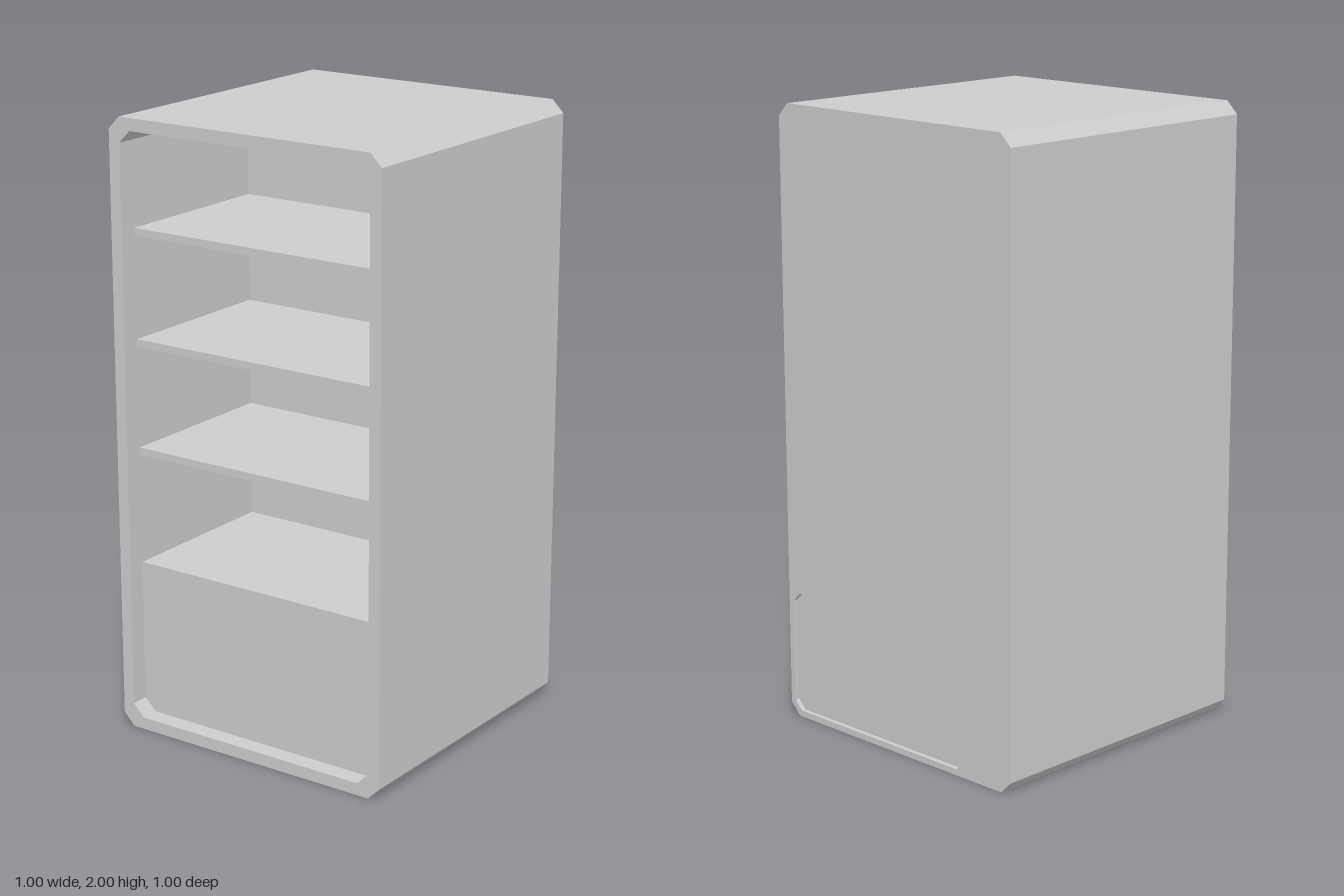
import * as THREE from 'three';

const FRONT = 0.5, BACK = -0.5, INNER_BACK = -0.14, RECESS = -0.485;

// Rectangle with cut corners, counter-clockwise; cutTop = 0 leaves the top square
function outline(x0, x1, y0, y1, cut, cutTop = cut) {
  const p = [[x0 + cut, y0], [x1 - cut, y0], [x1, y0 + cut]];
  if (cutTop) p.push([x1, y1 - cutTop], [x1 - cutTop, y1], [x0 + cutTop, y1], [x0, y1 - cutTop]);
  else p.push([x1, y1], [x0, y1]);
  p.push([x0, y0 + cut]);
  return p.map(([x, y]) => new THREE.Vector2(x, y));
}

// Flat-faced band along an outline between two depths
function band(points, z0, z1, inward) {
  const pos = [];
  points.forEach((p, i) => {
    const q = points[(i + 1) % points.length];
    const [a, b] = inward ? [q, p] : [p, q];
    pos.push(a.x, a.y, z0, b.x, b.y, z0, b.x, b.y, z1);
    pos.push(a.x, a.y, z0, b.x, b.y, z1, a.x, a.y, z1);
  });
  const g = new THREE.BufferGeometry();
  g.setAttribute('position', new THREE.Float32BufferAttribute(pos, 3));
  g.computeVertexNormals();
  return g;
}

// Flat face with an optional hole, facing front or back
function face(points, z, hole, backward) {
  const shape = new THREE.Shape(points);
  if (hole) shape.holes.push(new THREE.Path(hole));
  const g = new THREE.ShapeGeometry(shape);
  if (backward) g.rotateY(Math.PI);
  return g.translate(0, 0, z);
}

export function createModel() {
  const model = new THREE.Group();
  model.name = 'shelfCabinet';
  const grey = new THREE.MeshStandardMaterial({ color: 0xcccccc });
  grey.name = 'lightGrey';
  const add = (name, geometry, parent = model) => {
    const mesh = new THREE.Mesh(geometry, grey);
    mesh.name = name;
    parent.add(mesh);
    return mesh;
  };

  // Cabinet shell with an open front compartment
  const outer = outline(-0.5, 0.5, 0, 2, 0.04);
  const inner = outline(-0.46, 0.46, 0.04, 1.96, 0.04);
  const cabinet = new THREE.Group();
  cabinet.name = 'cabinet';
  model.add(cabinet);
  add('outerWalls', band(outer, BACK, FRONT, false), cabinet);
  add('frontRim', face(outer, FRONT, inner), cabinet);
  add('innerWalls', band(inner, INNER_BACK, FRONT, true), cabinet);
  add('innerBack', face(inner, INNER_BACK), cabinet);

  // Back with a shallow access recess (outline given as seen from behind)
  const recess = outline(-0.48, 0.3, 0.02, 0.42, 0.03);
  const recessFlipped = recess.map((p) => new THREE.Vector2(-p.x, p.y)).reverse();
  add('backPanel', face(outer, BACK, recess, true), cabinet);
  add('recessFloor', face(recess, RECESS, null, true), cabinet);
  add('recessEdge', band(recessFlipped, BACK, RECESS, true), cabinet);

  // Three shelves
  const shelfDepth = 0.44 - INNER_BACK;
  for (let i = 0; i < 3; i++) {
    const shelf = add('shelf' + (i + 1), new THREE.BoxGeometry(0.92, 0.025, shelfDepth));
    shelf.position.set(0, 0.9225 + i * 0.355, INNER_BACK + shelfDepth / 2);
  }

  // Solid base block in the bottom of the compartment
  const block = new THREE.Shape(outline(-0.46, 0.46, 0.04, 0.55, 0.04, 0));
  add('baseBlock', new THREE.ExtrudeGeometry(block, { depth: shelfDepth, bevelEnabled: false }))
    .position.z = INNER_BACK;

  return model;
}
